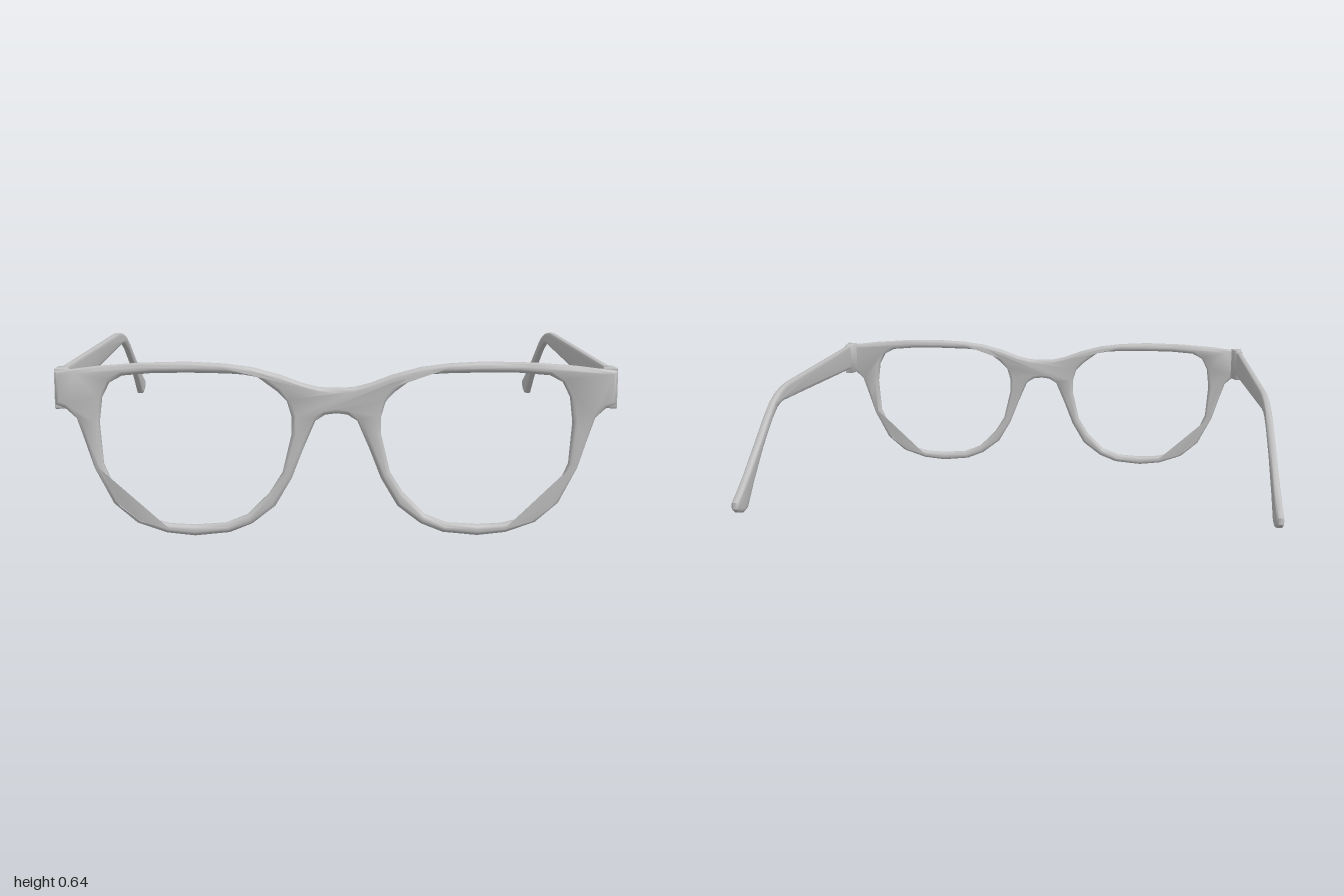
import * as THREE from 'three';
import { toCreasedNormals } from 'three/addons/utils/BufferGeometryUtils.js';

const toPoints = (pts) => pts.map(([x, y]) => new THREE.Vector2(x, y));

// Extrudes a clockwise outline (holes counter-clockwise) to an exact total depth,
// with rounded edges kept inside the outline
function roundedPlate(outline, holes, depth, round, bevelDepth, segments) {
  const shape = new THREE.Shape(toPoints(outline));
  holes.forEach((h) => shape.holes.push(new THREE.Path(toPoints(h))));
  const geo = new THREE.ExtrudeGeometry(shape, {
    depth: depth - 2 * bevelDepth,
    bevelEnabled: true,
    bevelThickness: bevelDepth,
    bevelSize: round,
    bevelOffset: -round,
    bevelSegments: segments,
  });
  geo.translate(0, 0, bevelDepth);
  return geo;
}

export function createModel() {
  const group = new THREE.Group();
  const grey = new THREE.MeshStandardMaterial({ color: 0xc0c0c0 });
  grey.name = 'light grey';

  function add(geo, name) {
    const mesh = new THREE.Mesh(toCreasedNormals(geo, 0.9), grey);
    mesh.name = name;
    group.add(mesh);
  }

  // Front frame: half outline from the top of the bridge round to its underside
  const half = [
    [0, 0.543], [0.06, 0.545], [0.12, 0.56], [0.2, 0.59], [0.3, 0.617], [0.4, 0.63],
    [0.53, 0.637], [0.7, 0.633], [0.85, 0.622], [0.93, 0.612], [1, 0.605],
    [1, 0.485], [0.965, 0.472], [0.925, 0.435], [0.9, 0.36], [0.866, 0.254],
    [0.8, 0.125], [0.717, 0.054], [0.61, 0.017], [0.51, 0.006], [0.385, 0.018],
    [0.305, 0.05], [0.22, 0.115], [0.16, 0.217], [0.12, 0.32], [0.075, 0.425],
    [0.04, 0.447], [0, 0.452],
  ];
  const mirror = (pts) => pts.map(([x, y]) => [-x, y]).reverse();
  const outline = [...half, ...mirror(half.slice(1, -1))];

  // Lens opening, counter-clockwise
  const lens = [
    [0.21, 0.53], [0.176, 0.495], [0.16, 0.44], [0.16, 0.377], [0.193, 0.238],
    [0.24, 0.163], [0.32, 0.083], [0.4, 0.052], [0.51, 0.045], [0.6, 0.05],
    [0.695, 0.074], [0.765, 0.127], [0.8, 0.19], [0.834, 0.27], [0.845, 0.42],
    [0.834, 0.51], [0.807, 0.563], [0.76, 0.588], [0.65, 0.597], [0.52, 0.598],
    [0.385, 0.595], [0.33, 0.591], [0.28, 0.582],
  ];
  const front = roundedPlate(outline, [lens, mirror(lens)], 0.036, 0.015, 0.014, 3);
  front.translate(0, -0.006, 0.914);
  add(front, 'frontFrame');

  // Temple side profile, as (-z, y)
  const temple = [
    [-0.89, 0.602], [-0.2, 0.628], [0.2, 0.643], [0.27, 0.642], [0.35, 0.632],
    [0.43, 0.611], [0.51, 0.575], [0.636, 0.504], [0.79, 0.418], [0.9, 0.367],
    [0.948, 0.346], [0.95, 0.322], [0.925, 0.302], [0.88, 0.289], [0.836, 0.293],
    [0.75, 0.367], [0.61, 0.47], [0.48, 0.546], [0.405, 0.577], [0.354, 0.587],
    [0.3, 0.587], [0.07, 0.567], [-0.89, 0.485],
  ];
  // Hinge block footprint, as (x, -z)
  const hinge = [
    [1, -0.942], [0.95, -0.93], [0.952, -0.914], [0.972, -0.866], [1, -0.866],
  ];

  for (const side of [1, -1]) {
    const prefix = side > 0 ? 'left' : 'right';

    const arm = roundedPlate(temple, [], 0.028, 0.013, 0.006, 2);
    arm.rotateY(Math.PI / 2);
    arm.translate(side > 0 ? 0.972 : -1, 0, 0);
    add(arm, prefix + 'Temple');

    const block = roundedPlate(hinge.map(([x, y]) => [side * x, y]), [], 0.146, 0.003, 0.006, 2);
    block.rotateX(-Math.PI / 2);
    block.translate(0, 0.463, 0);
    add(block, prefix + 'Hinge');
  }
  return group;
}
